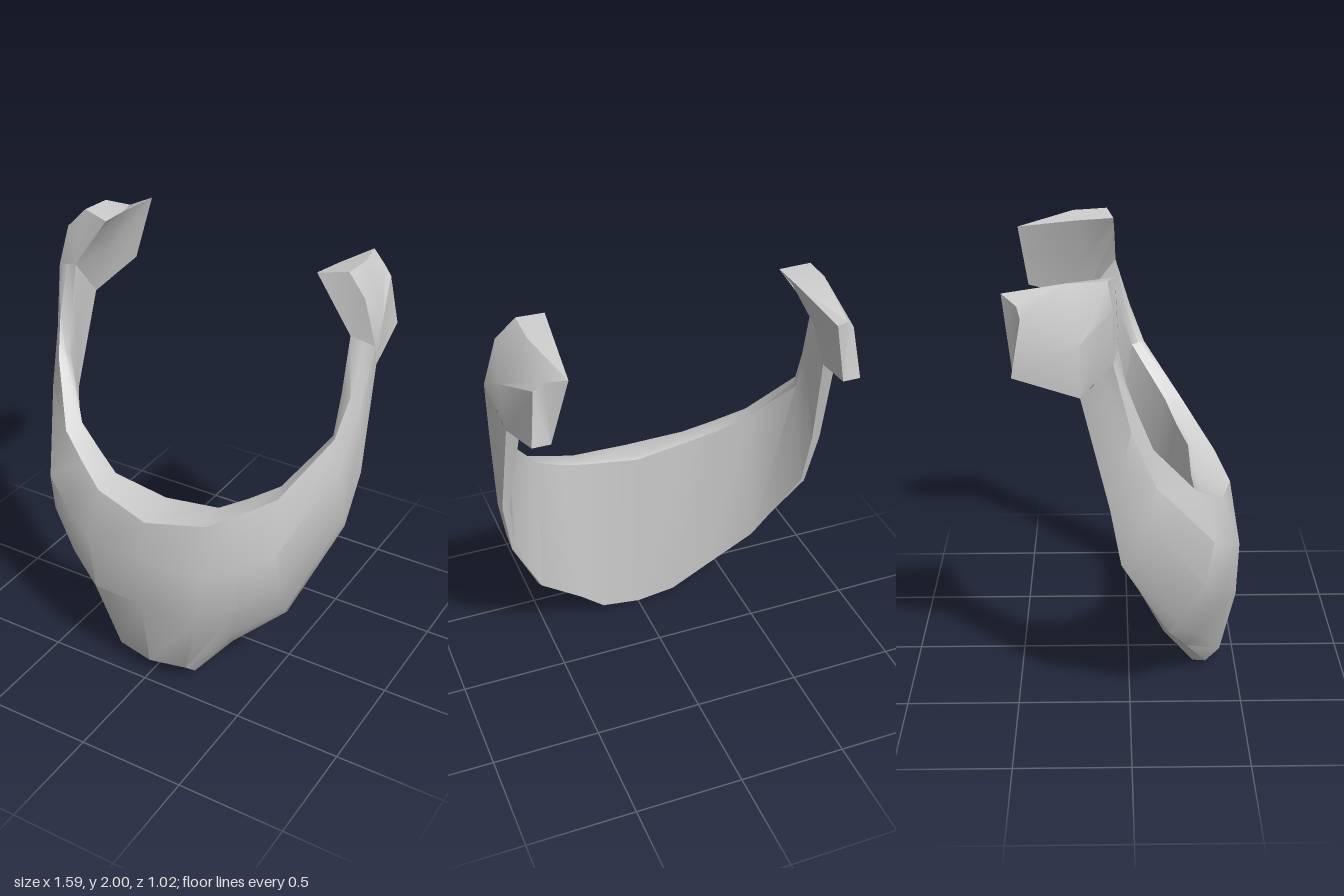
import * as THREE from 'three';
import { toCreasedNormals } from 'three/addons/utils/BufferGeometryUtils.js';

const mirror = (ring) => ring.map(([x, y, z]) => [-x, y, z]);

// Skin closed rings of equal length, capping both ends if asked
function loft(rings, caps) {
  const n = rings[0].length;
  const last = rings.length - 1;
  const index = [];
  for (let i = 0; i < last; i++) {
    for (let j = 0; j < n; j++) {
      const a = i * n + j, b = i * n + (j + 1) % n;
      index.push(a, b, a + n, b, b + n, a + n);
    }
  }
  if (caps) {
    for (let j = 1; j < n - 1; j++) {
      index.push(0, j + 1, j, last * n, last * n + j, last * n + j + 1);
    }
  }
  const geo = new THREE.BufferGeometry();
  geo.setAttribute('position', new THREE.Float32BufferAttribute(rings.flat(2), 3));
  geo.setIndex(index);
  return toCreasedNormals(geo, 0.65);
}

// Shell sections from the centre out and up the arm:
// inner rim, outer rim, three down the outside, lower edge, inner lower edge, inner top
const CENTRE = [[0, 0.905, 0.31], [0, 0.87, 0.47], [0, 0.68, 0.5], [0, 0.45, 0.515],
  [0, 0.08, 0.455], [0, 0.005, 0.36], [0, 0.01, 0.3], [0, 0.9, 0.29]];
const SIDE = [
  [[0.27, 0.945, 0.31], [0.28, 0.915, 0.415], [0.29, 0.69, 0.493], [0.27, 0.43, 0.485],
    [0.18, 0.09, 0.425], [0.19, 0.03, 0.36], [0.19, 0.035, 0.3], [0.27, 0.94, 0.29]],
  [[0.4, 1.01, 0.26], [0.41, 0.985, 0.35], [0.45, 0.77, 0.43], [0.44, 0.52, 0.41],
    [0.36, 0.28, 0.31], [0.335, 0.2, 0.26], [0.33, 0.2, 0.22], [0.39, 1.0, 0.24]],
  [[0.53, 1.085, 0.2], [0.55, 1.07, 0.275], [0.595, 0.85, 0.355], [0.605, 0.65, 0.32],
    [0.58, 0.46, 0.21], [0.56, 0.4, 0.165], [0.55, 0.4, 0.145], [0.52, 1.08, 0.19]],
  [[0.69, 1.32, 0.06], [0.71, 1.32, 0.09], [0.745, 1.17, 0.1], [0.75, 1.0, 0.06],
    [0.737, 0.87, 0], [0.725, 0.81, -0.04], [0.71, 0.82, -0.04], [0.685, 1.31, 0.03]],
  [[0.69, 1.5, 0], [0.74, 1.5, 0.02], [0.775, 1.42, 0], [0.778, 1.3, -0.03],
    [0.772, 1.15, -0.07], [0.765, 1.08, -0.085], [0.73, 1.08, -0.08], [0.69, 1.48, -0.03]],
  [[0.69, 1.74, -0.05], [0.745, 1.725, -0.06], [0.795, 1.71, -0.07], [0.78, 1.66, -0.113],
    [0.765, 1.605, -0.157], [0.75, 1.555, -0.2], [0.69, 1.55, -0.2], [0.69, 1.65, -0.125]],
];

// Hook sections from back to front:
// inner bottom, outer bottom, outer side, top, inward tip, inner side
const HOOK = [
  [[0.64, 1.63, -0.47], [0.72, 1.63, -0.47], [0.69, 1.86, -0.43],
    [0.65, 1.9, -0.445], [0.57, 1.93, -0.51], [0.6, 1.8, -0.48]],
  [[0.69, 1.55, -0.2], [0.75, 1.555, -0.2], [0.765, 1.78, -0.2],
    [0.65, 1.99, -0.25], [0.54, 1.965, -0.23], [0.63, 1.76, -0.2]],
  [[0.69, 1.74, -0.05], [0.795, 1.71, -0.07], [0.735, 1.91, -0.07],
    [0.65, 2, -0.09], [0.52, 1.98, -0.06], [0.59, 1.89, -0.055]],
];

export function createModel() {
  const group = new THREE.Group();
  const material = new THREE.MeshStandardMaterial({ color: 0xcccccc });
  const add = (name, geometry) => {
    const mesh = new THREE.Mesh(geometry, material);
    mesh.name = name;
    group.add(mesh);
  };

  // Curved front plate with its two rising arms
  add('chinGuardAndArms', loft([...SIDE.map(mirror).reverse(), CENTRE, ...SIDE], false));

  // Flared hooks curling inward at the arm tips
  add('leftHook', loft(HOOK, true));
  add('rightHook', loft(HOOK.map(mirror).reverse(), true));
  return group;
}
